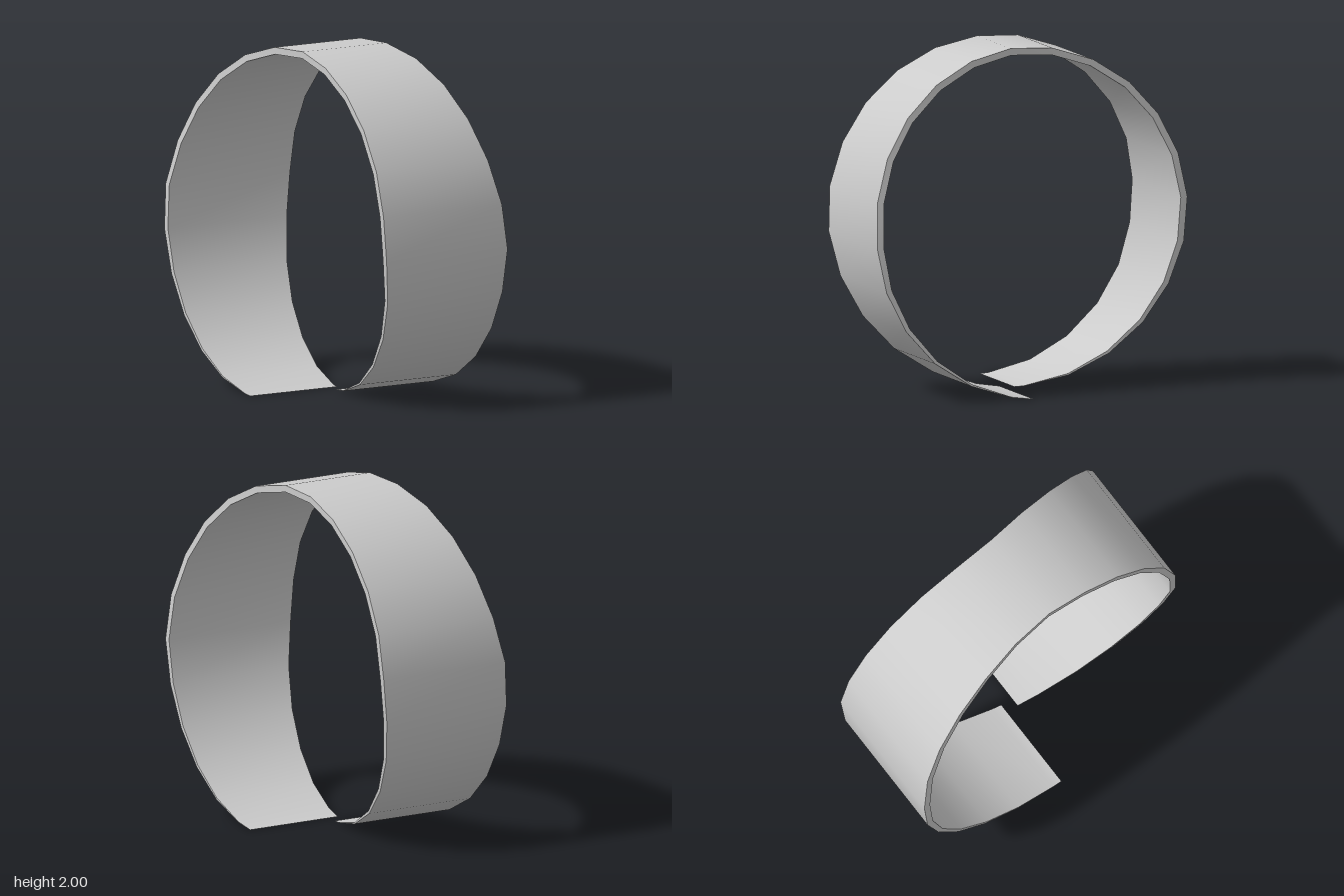
import * as THREE from 'three';

const material = new THREE.MeshStandardMaterial({ color: 0xcccccc, side: THREE.DoubleSide });
const { lerp, clamp, degToRad } = THREE.MathUtils;

// Stations round the x axis in degrees: 0 = top, positive towards the front.
const angles = [-178.2];
for (let a = -175; a <= 170; a += 15) angles.push(a);
angles.push(177.7);

// The +x edge steps outwards over two quarter turns; the -x edge is its half-turn copy.
function rightEdge(a) {
  if (a < -90) return lerp(0.03, 0.272, (a + 178) / 88);
  return lerp(0.272, 0.55, clamp(a / 90, 0, 1));
}
const leftEdge = (a) => -rightEdge(-a);

// Full thickness over the upper half, thinning to nothing at both ends.
const thickness = (a) => 0.04 * clamp((178 - Math.abs(a)) / 80, 0, 1);

const point = (x, r, a) => [x, 1 + r * Math.cos(degToRad(a)), r * Math.sin(degToRad(a))];
const corners = {
  leftOuter: (a) => point(leftEdge(a), 1, a),
  rightOuter: (a) => point(rightEdge(a), 1, a),
  rightInner: (a) => point(rightEdge(a), 1 - thickness(a), a),
  leftInner: (a) => point(leftEdge(a), 1 - thickness(a), a),
};

// Smooth strip between two of the band's corner lines.
function strip(name, from, to) {
  const positions = [];
  const index = [];
  angles.forEach((a, i) => {
    positions.push(...corners[from](a), ...corners[to](a));
    if (i === angles.length - 1) return;
    const p = 2 * i;
    index.push(p, p + 2, p + 1, p + 1, p + 2, p + 3);
  });
  const geometry = new THREE.BufferGeometry();
  geometry.setAttribute('position', new THREE.Float32BufferAttribute(positions, 3));
  geometry.setIndex(index);
  geometry.computeVertexNormals();
  const mesh = new THREE.Mesh(geometry, material);
  mesh.name = name;
  return mesh;
}

export function createModel() {
  const band = new THREE.Group();
  band.name = 'spiralBand';
  band.add(
    strip('outerFace', 'leftOuter', 'rightOuter'),
    strip('rightRim', 'rightOuter', 'rightInner'),
    strip('innerFace', 'rightInner', 'leftInner'),
    strip('leftRim', 'leftInner', 'leftOuter'),
  );
  return band;
}
